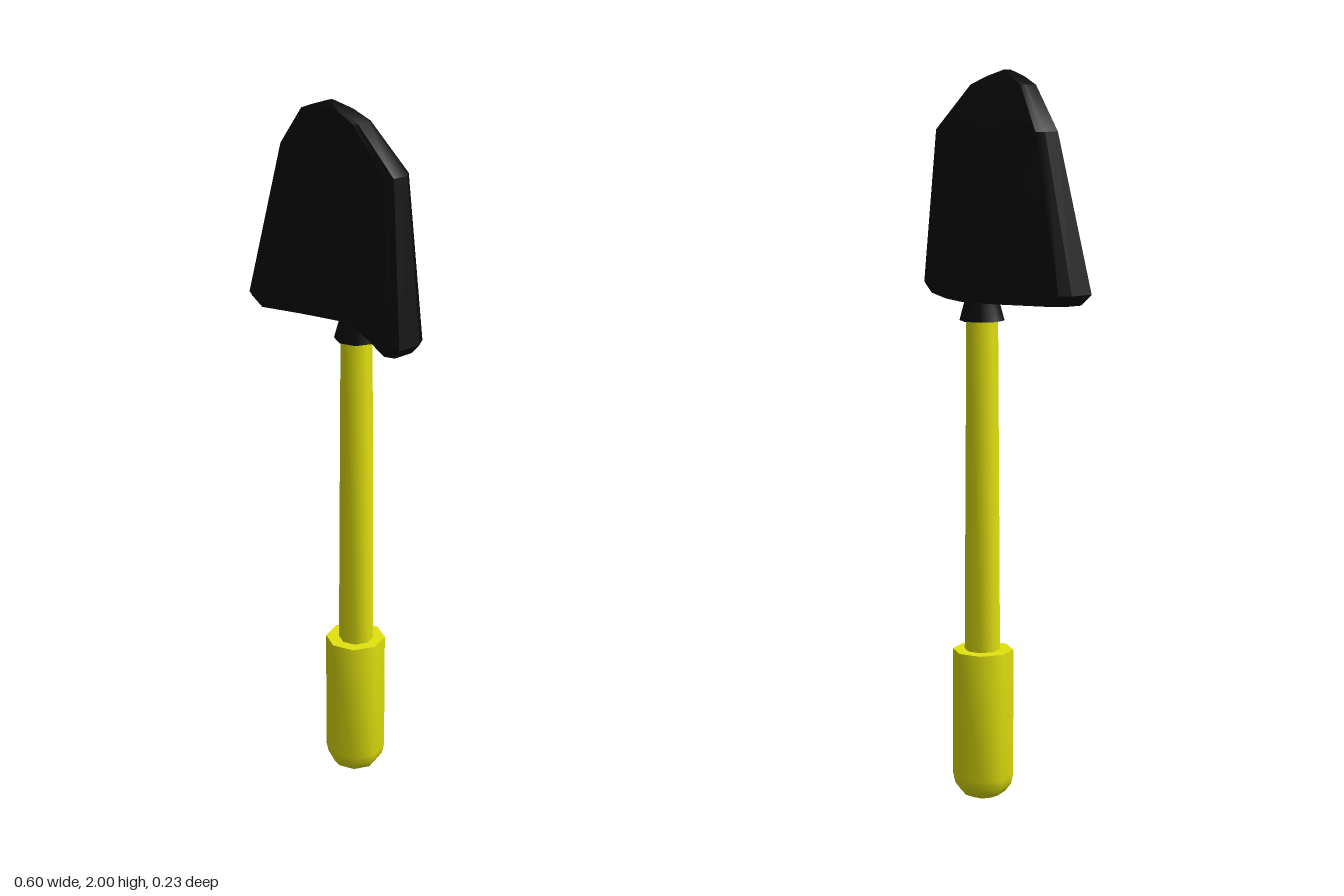
import * as THREE from 'three';
import { toCreasedNormals } from 'three/addons/utils/BufferGeometryUtils.js';

// Half cross-section of the blade: [share of half-width, share of curve depth, share of thickness]
const HALF = [
  [0, 0, 0], [0.37, 0.27, 0], [0.93, 1, 0], [1, 1, 0.25],
  [1, 1, 0.83], [0.9, 0.95, 1], [0.49, 0.48, 1], [0, 0, 1],
];
const RING = [...HALF, ...HALF.slice(1, -1).reverse().map(([u, f, g]) => [-u, f, g])];

// Blade rows: [y, half-width, back z, curve depth, thickness]
const ROWS = [
  [1.388, 0.272, -0.092, 0.098, 0.1],
  [1.418, 0.3, -0.1, 0.1, 0.12],
  [1.84, 0.22, -0.055, 0.04, 0.078],
  [1.96, 0.11, 0.018, 0.004, 0.058],
  [1.982, 0.055, 0.034, 0, 0.049],
  [2.0, 0.006, 0.058, 0, 0.014],
];

function bladeGeometry() {
  const pos = [], index = [], n = RING.length;
  for (const [y, w, back, depth, thick] of ROWS)
    for (const [u, f, g] of RING) pos.push(u * w, y, back + depth * f + thick * g);
  for (let r = 0; r < ROWS.length - 1; r++)
    for (let i = 0; i < n; i++) {
      const a = r * n + i, b = r * n + (i + 1) % n;
      index.push(a, a + n, b, b, a + n, b + n);
    }
  // End caps fan out from the middle of the first and last rows
  const last = ROWS.length - 1, bottom = ROWS.length * n, top = bottom + 1;
  for (const [y, , back, , thick] of [ROWS[0], ROWS[last]]) pos.push(0, y, back + thick / 2);
  for (let i = 0; i < n; i++) {
    const j = (i + 1) % n;
    index.push(bottom, i, j, top, last * n + j, last * n + i);
  }
  const geo = new THREE.BufferGeometry();
  geo.setAttribute('position', new THREE.Float32BufferAttribute(pos, 3));
  geo.setIndex(index);
  return toCreasedNormals(geo, 0.5);
}

// Eight-sided turned part from [radius, y] points, bottom to top
function turned(points) {
  const geo = new THREE.LatheGeometry(points.map(([r, y]) => new THREE.Vector2(r, y)), 8);
  return toCreasedNormals(geo, 1);
}

export function createModel() {
  const black = new THREE.MeshStandardMaterial({ name: 'black metal', color: 0x0b0b0b });
  const yellow = new THREE.MeshStandardMaterial({ name: 'yellow handle', color: 0xe2e20e });
  const model = new THREE.Group();
  model.name = 'trowel';

  const add = (name, geo, material, x = 0, z = 0) => {
    const mesh = new THREE.Mesh(geo, material);
    mesh.name = name;
    mesh.position.set(x, 0, z);
    model.add(mesh);
  };

  add('blade', bladeGeometry(), black);

  // Flared socket between blade and shaft
  add('collar', turned([[0, 1.335], [0.061, 1.335], [0.045, 1.395], [0.04, 1.43], [0, 1.43]]),
    black, -0.004, -0.027);

  // Slightly tapered shaft
  add('shaft', turned([[0.049, 0.41], [0.043, 1.35]]), yellow, -0.006, -0.028);

  // Thick grip with a rounded end
  add('grip', turned([
    [0, 0], [0.035, 0.004], [0.062, 0.017], [0.078, 0.038], [0.084, 0.065],
    [0.084, 0.424], [0, 0.424],
  ]), yellow, -0.009, -0.028);

  return model;
}
